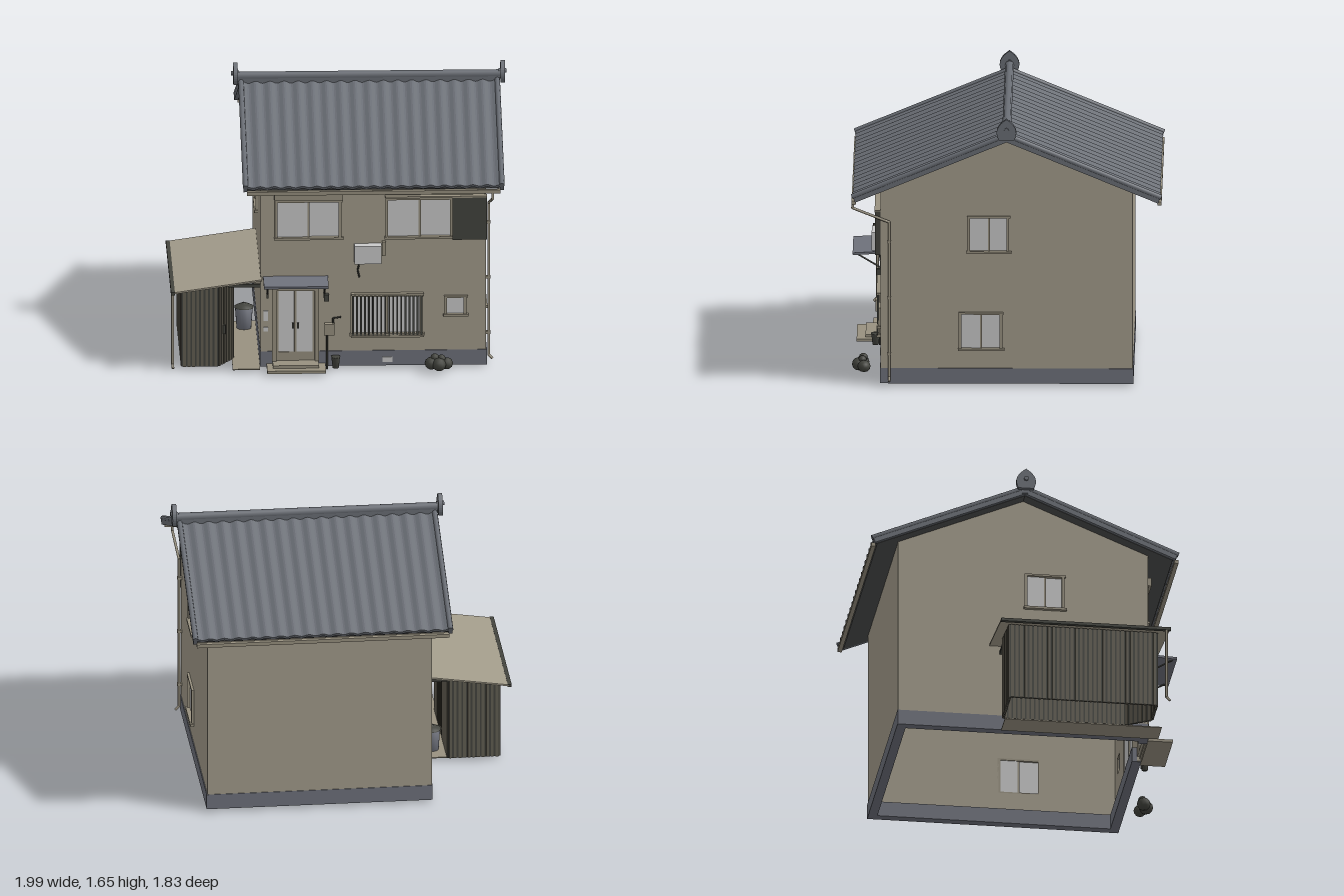
import * as THREE from 'three';

const mat = (name, color, double) => {
  const m = new THREE.MeshStandardMaterial({ color });
  m.name = name;
  if (double) m.side = THREE.DoubleSide;
  return m;
};

export function createModel() {
  const M = {
    wall: mat('plaster', 0xa39c8b), base: mat('foundation grey', 0x6f727c),
    tile: mat('roof tile', 0x6a6e75), glass: mat('pale glass', 0xcacaca, true),
    trim: mat('beige trim', 0x989180), dark: mat('dark metal', 0x43443e),
    slat: mat('slat brown', 0x625e52), soffit: mat('soffit', 0x4c4d4d),
  };
  const model = new THREE.Group();
  model.name = 'house';

  const add = (name, geo, m, parent = model) => {
    const mesh = new THREE.Mesh(geo, m);
    mesh.name = name;
    parent.add(mesh);
    return mesh;
  };
  // box from its extents
  const box = (name, m, x0, x1, y0, y1, z0, z1, parent) => {
    const b = add(name, new THREE.BoxGeometry(x1 - x0, y1 - y0, z1 - z0), m, parent);
    b.position.set((x0 + x1) / 2, (y0 + y1) / 2, (z0 + z1) / 2);
    return b;
  };
  // round rods along a list of points
  const pipe = (name, m, r, pts, parent) => {
    for (let i = 1; i < pts.length; i++) {
      const a = new THREE.Vector3(...pts[i - 1]), b = new THREE.Vector3(...pts[i]);
      const d = b.clone().sub(a);
      const rod = add(name, new THREE.CylinderGeometry(r, r, d.length() + r * 0.6, 8), m, parent);
      rod.position.copy(a).add(b).multiplyScalar(0.5);
      rod.quaternion.setFromUnitVectors(new THREE.Vector3(0, 1, 0), d.normalize());
    }
  };
  const group = (name, parent = model) => {
    const g = new THREE.Group();
    g.name = name;
    parent.add(g);
    return g;
  };

  // ---- Walls: each side is drawn in its own plane, outside facing local +z
  const side = (name, x, z, turn, outline, openings) => {
    const g = group(name);
    g.position.set(x, 0, z);
    g.rotation.y = turn;
    const shape = new THREE.Shape(outline.map(p => new THREE.Vector2(...p)));
    for (const [x0, x1, y0, y1] of openings) {
      shape.holes.push(new THREE.Path([[x0, y0], [x0, y1], [x1, y1], [x1, y0]].map(p => new THREE.Vector2(...p))));
    }
    const geo = new THREE.ExtrudeGeometry(shape, { depth: 0.02, bevelEnabled: false });
    geo.translate(0, 0, -0.02);
    add(name + 'Wall', geo, M.wall, g);
    return g;
  };
  // framed sliding window with two overlapping panes
  const slidingWindow = (g, [x0, x1, y0, y1], panes = 2) => {
    const w = group('window', g), t = 0.012, c = (x0 + x1) / 2;
    box('frameTop', M.trim, x0 - t, x1 + t, y1 - t, y1, -0.02, 0.014, w);
    box('sill', M.trim, x0 - t - 0.005, x1 + t + 0.005, y0 - 0.006, y0 + 0.008, -0.02, 0.022, w);
    for (const x of [x0, x1]) box('frameSide', M.trim, x - t, x + 0.004, y0, y1, -0.02, 0.014, w);
    if (panes === 1) return box('pane', M.glass, x0, x1, y0, y1, -0.01, -0.005, w);
    box('pane', M.glass, x0, c, y0, y1, -0.006, -0.003, w);
    box('pane', M.glass, c, x1, y0, y1, -0.014, -0.011, w);
    box('stile', M.trim, c - 0.006, c + 0.006, y0, y1, -0.015, 0.001, w);
  };

  const doorHole = [-0.385, -0.145, 0.05, 0.49];
  const frontWindows = [[-0.375, 0, 0.805, 1.04], [0.275, 0.655, 0.805, 1.05], [0.07, 0.475, 0.21, 0.455]];
  const small = [0.62, 0.735, 0.325, 0.445];
  const rect = w => [[-w[0], 0.1], [w[1], 0.1], [w[1], 1.2], [-w[0], 1.2]];
  const gable = [[-0.739, 0.1], [0.739, 0.1], [0.739, 1.2], [0, 1.51], [-0.739, 1.2]];
  const rightWindows = [[-0.22, 0.01, 0.815, 1.035], [-0.27, -0.03, 0.225, 0.45]];
  const leftWindows = [[0.02, 0.24, 0.815, 1.035]];

  const notched = [[-0.47, 0.02], [-0.385, 0.02], [-0.385, 0.05], [-0.145, 0.05], [-0.145, 0.02],
    [0.855, 0.02], [0.855, 1.2], [-0.47, 1.2]];
  const front = side('front', 0, 0.74, 0, notched, [[-0.385, -0.145, 0.052, 0.49], ...frontWindows, small]);
  const back = side('back', 0, -0.74, Math.PI, rect([0.855, 0.47]), []);
  const right = side('right', 0.855, 0, Math.PI / 2, gable, rightWindows);
  const left = side('left', -0.47, 0, -Math.PI / 2, gable, leftWindows);
  frontWindows.forEach(w => slidingWindow(front, w));
  slidingWindow(front, small, 1);
  rightWindows.forEach(w => slidingWindow(right, w));
  leftWindows.forEach(w => slidingWindow(left, w));

  // ---- Foundation ring, interrupted at the door
  for (const [x0, x1, z0, z1] of [[-0.473, -0.39, 0.69, 0.744], [-0.14, 0.859, 0.69, 0.744], [-0.473, 0.859, -0.744, -0.69],
    [-0.474, -0.42, -0.743, 0.743], [0.806, 0.86, -0.743, 0.743]]) box('foundation', M.base, x0, x1, 0.018, 0.11, z0, z1);
  box('foundationVent', M.glass, 0.245, 0.305, 0.04, 0.072, 0.744, 0.75);

  // ---- Roof: two wavy tiled slopes over a flat deck
  const roofX = 0.19, half = 0.75, slope = Math.atan(0.415), len = 0.965, waves = 18;
  const roof = group('roof');
  roof.position.set(roofX, 1.515, 0);
  const wave = new THREE.Shape(), steps = waves * 8;
  const pt = (i, h) => [-half + 2 * half * i / steps, h + 0.006 * Math.cos(2 * Math.PI * i / 8)];
  for (let i = 0; i <= steps; i++) wave[i ? 'lineTo' : 'moveTo'](...pt(i, 0.03));
  for (let i = steps; i >= 0; i--) wave.lineTo(...pt(i, 0.013));
  const tileGeo = new THREE.ExtrudeGeometry(wave, { depth: len, bevelEnabled: false });
  for (const turn of [0, Math.PI]) {
    const turned = group('roofSide', roof);
    turned.rotation.y = turn;
    const s = group('roofSlope', turned);
    s.rotation.x = slope;
    add('tiles', tileGeo, M.tile, s);
    box('deck', M.soffit, -half + 0.01, half - 0.01, -0.008, 0.012, 0, len - 0.015, s);
    for (const x of [-half - 0.003, half + 0.003]) {
      box('vergeBoard', M.tile, x - 0.012, x + 0.012, -0.006, 0.028, 0, len, s);
      pipe('vergeTile', M.tile, 0.016, [[x, 0.032, 0], [x, 0.032, len]], s);
    }
    box('gutter', M.trim, -0.745, 0.745, -0.392, -0.37, 0.885, 0.91, turned);
  }

  // ---- Ridge with pointed end tiles
  box('ridge', M.tile, -0.58, 0.96, 1.51, 1.575, -0.022, 0.022);
  pipe('ridgeCap', M.tile, 0.026, [[-0.6, 1.572, 0], [0.98, 1.572, 0]]);
  const crest = new THREE.Shape();
  crest.moveTo(-0.045, 1.53);
  crest.lineTo(0.045, 1.53);
  crest.quadraticCurveTo(0.085, 1.6, 0, 1.655);
  crest.quadraticCurveTo(-0.085, 1.6, -0.045, 1.53);
  const crestGeo = new THREE.ExtrudeGeometry(crest, { depth: 0.026, bevelEnabled: false, curveSegments: 10 });
  for (const x of [-0.608, 0.962]) {
    const c = add('ridgeEnd', crestGeo, M.tile);
    c.rotation.y = Math.PI / 2;
    c.position.x = x;
    pipe('ridgeBoss', M.tile, 0.014, [[x - 0.008, 1.59, 0], [x + 0.03, 1.59, 0]]);
  }

  // ---- Double front door, step and canopy
  const door = group('door', front);
  for (const x of [-0.39, -0.14]) box('doorPost', M.trim, x - 0.012, x + 0.012, 0.05, 0.5, -0.02, 0.015, door);
  box('doorHead', M.trim, -0.402, -0.128, 0.485, 0.503, -0.02, 0.015, door);
  box('doorFoot', M.trim, -0.38, -0.15, 0.05, 0.105, -0.012, -0.002, door);
  box('doorGlass', M.glass, -0.372, -0.158, 0.1, 0.487, -0.012, -0.005, door);
  for (const x of [-0.372, -0.265, -0.158]) box('doorStile', M.trim, x - 0.007, x + 0.007, 0.05, 0.487, -0.014, 0, door);
  for (const x of [-0.28, -0.25]) box('doorHandle', M.dark, x - 0.005, x + 0.005, 0.25, 0.285, -0.005, 0.008, door);
  box('step', M.trim, -0.435, -0.09, 0.018, 0.035, 0.745, 0.892);
  box('upperStep', M.trim, -0.4, -0.13, 0.035, 0.052, 0.735, 0.84);
  const canopy = box('canopy', M.base, -0.455, -0.075, 0.553, 0.567, 0.735, 0.915);
  canopy.rotation.x = 0.06;
  box('canopyBeam', M.dark, -0.45, -0.08, 0.54, 0.556, 0.74, 0.755);
  for (const x of [-0.43, -0.095]) {
    box('canopyBracket', M.dark, x - 0.006, x + 0.006, 0.44, 0.55, 0.74, 0.752);
    pipe('canopyBrace', M.dark, 0.005, [[x, 0.465, 0.745], [x, 0.552, 0.89]]);
  }
  box('porchLamp', M.dark, -0.097, -0.07, 0.425, 0.465, 0.74, 0.775);
  box('intercom', M.glass, -0.452, -0.428, 0.3, 0.362, 0.74, 0.748);
  box('namePlate', M.glass, -0.452, -0.428, 0.235, 0.26, 0.74, 0.748);

  // ---- Shutter boxes and window bars
  box('shutterHead', M.trim, -0.39, 0.012, 1.045, 1.095, 0.74, 0.772);
  box('shutterBox', M.dark, 0.657, 0.86, 0.797, 1.06, 0.74, 0.774);
  box('shutterRail', M.trim, 0.262, 0.86, 1.056, 1.066, 0.74, 0.776);
  for (let i = 0; i < 18; i++) {
    const x = 0.072 + i * 0.0237;
    box('windowBar', M.dark, x - 0.005, x + 0.005, 0.21, 0.455, 0.757, 0.767);
  }
  for (const y of [0.202, 0.46]) box('barRail', M.trim, 0.06, 0.488, y - 0.005, y + 0.006, 0.74, 0.77);

  // ---- Air conditioner and meter
  box('airConditioner', M.glass, 0.08, 0.24, 0.66, 0.77, 0.74, 0.8);
  box('conditionerCover', M.trim, 0.243, 0.265, 0.7, 0.785, 0.74, 0.765);
  pipe('conditionerHose', M.dark, 0.005, [[0.11, 0.66, 0.76], [0.1, 0.61, 0.755], [0.11, 0.565, 0.75]]);
  box('meterBox', M.trim, -0.095, -0.037, 0.215, 0.285, 0.74, 0.78);
  pipe('meterPipe', M.dark, 0.005, [[-0.08, 0.003, 0.755], [-0.08, 0.22, 0.755]]);
  pipe('meterPipe', M.dark, 0.005, [[-0.045, 0.285, 0.755], [-0.045, 0.315, 0.755], [0, 0.32, 0.75]]);

  // ---- Downspout at the front right corner
  pipe('downspout', M.trim, 0.008, [[0.89, 1.13, 0.9], [0.888, 1.09, 0.905], [0.872, 1, 0.69], [0.872, 0.06, 0.69], [0.892, 0.04, 0.69]]);
  for (const y of [0.2, 0.54, 0.88]) box('downspoutClip', M.trim, 0.855, 0.883, y - 0.008, y + 0.008, 0.679, 0.701);

  // ---- Lean-to roof over the slatted store
  const leanAngle = Math.atan2(0.075, 0.52);
  const lean = box('leanToRoof', M.wall, -0.985, -0.46, 0.523, 0.533, -0.2, 0.8);
  lean.rotation.z = leanAngle;
  box('leanToGutter', M.dark, -0.998, -0.975, 0.48, 0.498, -0.2, 0.805);
  pipe('leanToDownspout', M.trim, 0.008, [[-0.988, 0.485, 0.78], [-0.988, 0.05, 0.78], [-0.986, 0.03, 0.8]]);
  for (const z of [-0.13, 0.74]) box('leanToBeam', M.dark, -0.66, -0.47, 0.507, 0.525, z - 0.01, z + 0.01);
  const plan = [[-0.63, 0.58], [-0.72, 0.73], [-0.93, 0.73], [-0.93, -0.14], [-0.63, -0.14], [-0.63, 0.58]];
  const store = group('slattedStore');
  for (let k = 1; k < plan.length; k++) {
    const [ax, az] = plan[k - 1], [bx, bz] = plan[k];
    const L = Math.hypot(bx - ax, bz - az), n = Math.max(4, Math.round(L / 0.027));
    for (let i = 0; i < n; i++) {
      const t = (i + 0.5) / n, x = ax + (bx - ax) * t, z = az + (bz - az) * t;
      const top = 0.515 + (x + 0.73) * 0.14;
      for (const [name, m, w, d] of [['slat', M.slat, L / n * 0.6, 0.016], ['backing', M.dark, L / n, 0.006]]) {
        const s = box(name, m, -w / 2, w / 2, 0.018, top, -d / 2, d / 2, store);
        s.position.x = x;
        s.position.z = z;
        s.rotation.y = -Math.atan2(bz - az, bx - ax);
      }
    }
  }
  box('storeHandle', M.dark, -0.688, -0.676, 0.205, 0.26, 0.64, 0.7);
  box('sidePath', M.trim, -0.635, -0.474, 0.014, 0.02, -0.13, 0.8);

  // ---- Bin, bucket and rocks
  const lathe = (name, m, x, z, pts) => {
    const l = add(name, new THREE.LatheGeometry(pts.map(p => new THREE.Vector2(...p)), 20), m);
    l.position.set(x, 0, z);
  };
  lathe('bin', M.base, -0.545, 0, [[0, 0.02], [0.043, 0.02], [0.052, 0.145], [0, 0.145]]);
  lathe('binLid', M.dark, -0.545, 0, [[0.056, 0.145], [0.056, 0.153], [0.03, 0.166], [0.012, 0.168], [0.01, 0.176], [0, 0.176]]);
  lathe('bucket', M.dark, -0.03, 0.78, [[0, 0.018], [0.018, 0.018], [0.025, 0.08], [0.028, 0.088], [0, 0.088]]);
  for (const [x, y, z, r] of [[0.53, 0.062, 0.85, 0.04], [0.575, 0.06, 0.87, 0.042], [0.62, 0.058, 0.84, 0.038],
    [0.55, 0.095, 0.845, 0.026], [0.59, 0.092, 0.85, 0.024]]) {
    const rock = add('rock', new THREE.IcosahedronGeometry(r, 1), M.dark);
    rock.position.set(x, y, z);
    rock.scale.y = 0.95;
  }
  return model;
}
